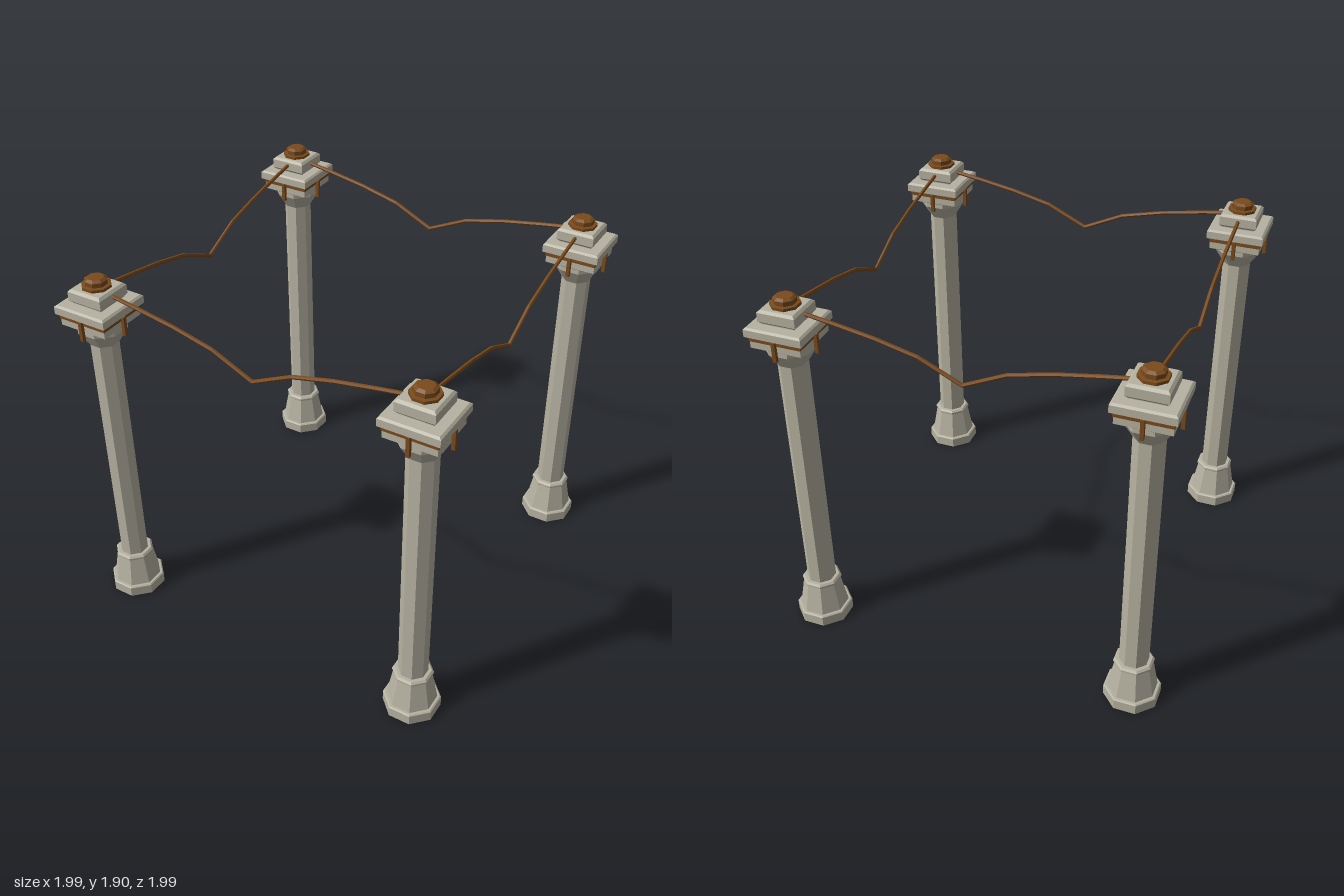
import * as THREE from 'three';

const stone = new THREE.MeshStandardMaterial({ color: 0xb7b3a2, flatShading: true });
stone.name = 'stone';
const rust = new THREE.MeshStandardMaterial({ color: 0x7a4a1c, flatShading: true });
rust.name = 'rustyBrown';

const SPACING = 0.85;

// Solid with n flat sides, one facing +z; profile is [half width, y] from bottom to top
function prism(name, n, profile, material) {
  const k = 1 / Math.cos(Math.PI / n);
  const pts = profile.map(([w, y]) => new THREE.Vector2(w * k, y));
  pts.unshift(new THREE.Vector2(0, profile[0][1]));
  pts.push(new THREE.Vector2(0, profile[profile.length - 1][1]));
  const mesh = new THREE.Mesh(new THREE.LatheGeometry(pts, n, Math.PI / n), material);
  mesh.name = name;
  return mesh;
}

function box(name, w, h, d, x, y, z, material) {
  const mesh = new THREE.Mesh(new THREE.BoxGeometry(w, h, d), material);
  mesh.position.set(x, y, z);
  mesh.name = name;
  return mesh;
}

function createPillar() {
  const g = new THREE.Group();
  g.name = 'pillar';
  // Octagonal column
  g.add(prism('base', 8, [[0.132, 0], [0.132, 0.054], [0.126, 0.06]], stone));
  g.add(prism('plinth', 8, [[0.115, 0.058], [0.088, 0.215], [0.093, 0.22], [0.093, 0.23], [0.084, 0.24]], stone));
  g.add(prism('shaft', 8, [[0.068, 0.23], [0.068, 1.56]], stone));
  g.add(prism('capital', 8, [[0.068, 1.555], [0.115, 1.635], [0.115, 1.67]], stone));
  // Square slabs
  g.add(prism('lowerSlab', 4, [[0.122, 1.663], [0.128, 1.668], [0.128, 1.705]], stone));
  g.add(prism('upperSlab', 4, [[0.132, 1.72], [0.145, 1.729], [0.145, 1.766], [0.135, 1.775]], stone));
  g.add(prism('neck', 4, [[0.083, 1.77], [0.083, 1.79]], stone));
  g.add(prism('topBlock', 4, [[0.085, 1.78], [0.095, 1.791], [0.095, 1.836], [0.083, 1.848]], stone));
  // Metal band with a hanging hook on each side
  g.add(prism('band', 4, [[0.131, 1.703], [0.131, 1.722]], rust));
  for (let i = 0; i < 4; i++) {
    const a = (i * Math.PI) / 2;
    g.add(box('hook', 0.018, 0.1, 0.018, Math.sin(a) * 0.137, 1.675, Math.cos(a) * 0.137, rust));
  }
  // Stepped finial
  g.add(prism('finial', 8, [[0.067, 1.846], [0.067, 1.862], [0.051, 1.864], [0.051, 1.886], [0.037, 1.896]], rust));
  return g;
}

// Sagging rope made of straight lengths
function createRope() {
  const g = new THREE.Group();
  g.name = 'rope';
  const half = [[0.80, 1.824], [0.63, 1.797], [0.42, 1.76], [0.21, 1.709], [0, 1.609]];
  const up = new THREE.Vector3(0, 1, 0);
  for (const s of [-1, 1]) {
    for (let i = 0; i < half.length - 1; i++) {
      const a = new THREE.Vector3(s * half[i][0], half[i][1], 0);
      const b = new THREE.Vector3(s * half[i + 1][0], half[i + 1][1], 0);
      const dir = b.clone().sub(a);
      const seg = new THREE.Mesh(new THREE.CylinderGeometry(0.01, 0.01, dir.length() + 0.004, 6), rust);
      seg.position.copy(a).add(b).multiplyScalar(0.5);
      seg.quaternion.setFromUnitVectors(up, dir.normalize());
      seg.name = 'ropeLength';
      g.add(seg);
    }
  }
  return g;
}

export function createModel() {
  const model = new THREE.Group();
  model.name = 'ropedPillars';
  for (const x of [-1, 1]) {
    for (const z of [-1, 1]) {
      const pillar = createPillar();
      pillar.position.set(x * SPACING, 0, z * SPACING);
      model.add(pillar);
    }
  }
  for (let i = 0; i < 4; i++) {
    const a = (i * Math.PI) / 2;
    const rope = createRope();
    rope.rotation.y = a;
    rope.position.set(Math.sin(a) * SPACING, 0, Math.cos(a) * SPACING);
    model.add(rope);
  }
  return model;
}
